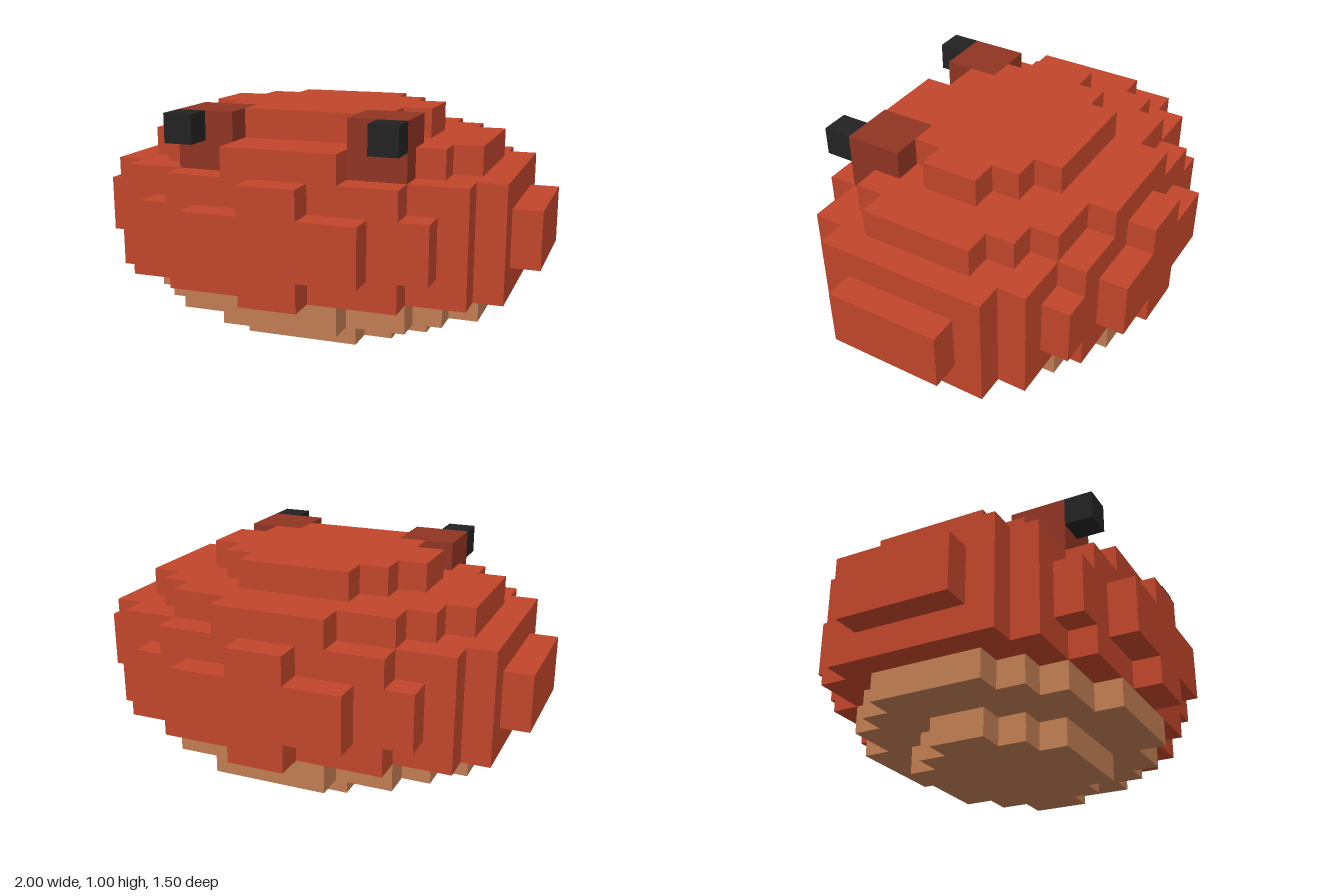
import * as THREE from 'three';

const U = 0.125; // one block

const mat = (name, color) => {
  const m = new THREE.MeshStandardMaterial({ color });
  m.name = name;
  return m;
};

// Stepped slab: back and front list the half widths of the rows from z = 0 outwards
function slab(name, material, y, height, back, front = back) {
  const right = [];
  for (let i = back.length - 1; i >= 0; i--) right.push([back[i], i + 1], [back[i], i]);
  front.forEach((w, i) => right.push([w, -i], [w, -i - 1]));
  const left = right.map(([x, v]) => [-x, v]).reverse();
  // drop points that repeat or lie on a straight side
  const all = [...right, ...left];
  const pts = all.filter(([x, v], i) => {
    const p = all[(i + all.length - 1) % all.length];
    const n = all[(i + 1) % all.length];
    if (p[0] === x && p[1] === v) return false;
    return !(p[0] === x && n[0] === x);
  });
  const shape = new THREE.Shape(pts.map(([x, v]) => new THREE.Vector2(x * U, v * U)));
  const geo = new THREE.ExtrudeGeometry(shape, { depth: height * U, bevelEnabled: false });
  geo.rotateX(-Math.PI / 2);
  const mesh = new THREE.Mesh(geo, material);
  mesh.name = name;
  mesh.position.y = y * U;
  return mesh;
}

// Box given by its lowest corner and size in blocks
function block(name, material, x, y, z, w, h, d) {
  const mesh = new THREE.Mesh(new THREE.BoxGeometry(w * U, h * U, d * U), material);
  mesh.name = name;
  mesh.position.set((x + w / 2) * U, (y + h / 2) * U, (z + d / 2) * U);
  return mesh;
}

export function createModel() {
  const red = mat('shell red', 0xc1452b);
  const darkRed = mat('stalk dark red', 0x903423);
  const tan = mat('belly tan', 0xc17d53);
  const black = mat('eye black', 0x222222);

  const group = new THREE.Group();
  group.name = 'blockCreature';

  // Belly
  group.add(slab('bellyBottom', tan, 0, 1, [4, 3, 2]));
  group.add(slab('bellyUpper', tan, 1, 1, [6, 6, 5, 4, 2]));

  // Shell, notched at the front where the eye stalks sit
  group.add(slab('shellLower', red, 2, 1, [7, 7, 7, 6, 4, 1]));
  group.add(slab('shellMiddle', red, 3, 2, [8, 8, 7, 6, 5, 3]));
  group.add(slab('shellUpper', red, 5, 1, [7, 7, 7, 6, 4, 1]));
  group.add(slab('shellShoulder', red, 6, 1, [6, 6, 5, 4, 2], [6, 6, 5, 2, 2]));
  group.add(slab('shellTop', red, 7, 1, [4, 3, 2]));

  // Eye stalks and eyes
  for (const [side, s] of [['left', 1], ['right', -1]]) {
    group.add(block(side + 'EyeStalk', darkRed, s > 0 ? 2 : -4, 6, 2, 2, 2, 2));
    group.add(block(side + 'Eye', black, s > 0 ? 3 : -4, 7, 4, 1, 1, 1));
  }
  return group;
}
